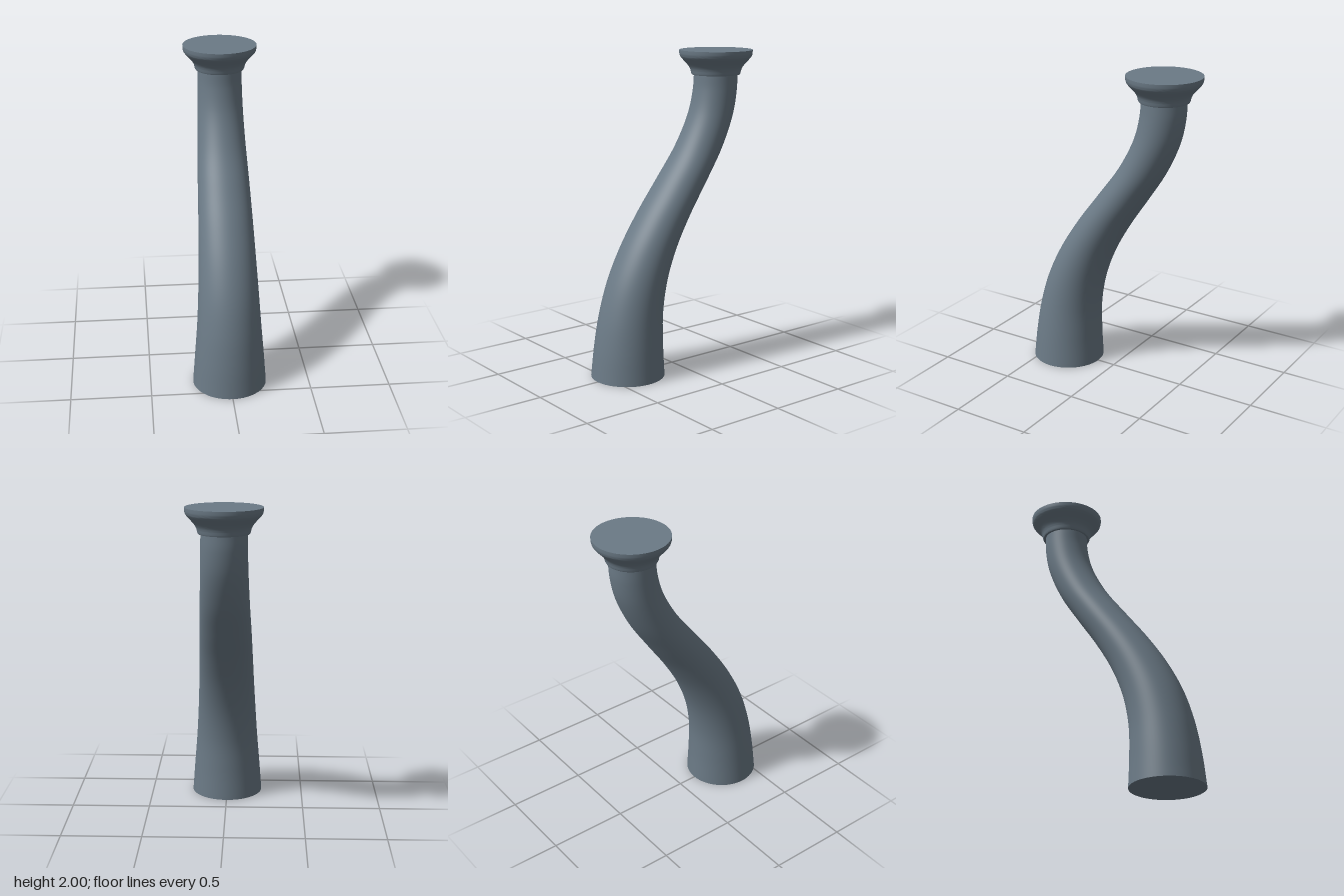
import * as THREE from 'three';
import { mergeVertices, toCreasedNormals } from 'three/addons/utils/BufferGeometryUtils.js';

const slate = new THREE.MeshStandardMaterial({ color: 0x6b7a86 });
slate.name = 'slate grey';

const TOP_Z = -0.353, BASE_Z = 0.353, STEM_TOP = 1.86;

// Centre line of the stem: height, depth, radius
const stations = [
  [0, 0.353, 0.231], [0.2, 0.345, 0.216], [0.4, 0.324, 0.2], [0.6, 0.274, 0.188],
  [0.8, 0.187, 0.178], [1.0, 0.066, 0.17], [1.2, -0.077, 0.162], [1.4, -0.215, 0.152],
  [1.6, -0.311, 0.144], [1.75, -0.346, 0.14], [STEM_TOP, -0.353, 0.138],
].map(([y, z, r]) => new THREE.Vector3(r, y, z));

// Horizontal circles that slide along the S-curve and taper upwards
function stemGeometry(rows = 60, sides = 64) {
  const path = new THREE.CatmullRomCurve3(stations);
  const geo = new THREE.CylinderGeometry(1, 1, 1, sides, rows, true);
  const pos = geo.attributes.position;
  for (let i = 0; i < pos.count; i++) {
    const s = path.getPoint(THREE.MathUtils.clamp(pos.getY(i) + 0.5, 0, 1));
    pos.setXYZ(i, pos.getX(i) * s.x, s.y, s.z + pos.getZ(i) * s.x);
  }
  geo.deleteAttribute('uv');
  geo.deleteAttribute('normal');
  const welded = mergeVertices(geo, 1e-5);
  welded.computeVertexNormals();
  return welded;
}

export function createModel() {
  const group = new THREE.Group();
  const add = (name, geo) => {
    const mesh = new THREE.Mesh(geo, slate);
    mesh.name = name;
    group.add(mesh);
    return mesh;
  };

  // Curved tapering stem
  add('stem', stemGeometry());

  // Flat underside
  const underside = add('underside', new THREE.CircleGeometry(0.231, 64));
  underside.rotation.x = Math.PI / 2;
  underside.position.z = BASE_Z;

  // Flared cap on top of the stem
  const flare = new THREE.SplineCurve([
    [0.157, 1.855], [0.16, 1.87], [0.168, 1.89], [0.185, 1.913],
    [0.21, 1.94], [0.226, 1.96], [0.232, 1.98],
  ].map(([r, y]) => new THREE.Vector2(r, y))).getPoints(20);
  const profile = [
    new THREE.Vector2(0.125, 1.845), new THREE.Vector2(0.152, 1.845),
    ...flare, new THREE.Vector2(0.232, 2),
  ];
  const cap = add('flaredCap', toCreasedNormals(new THREE.LatheGeometry(profile, 64), 0.6));
  cap.position.z = TOP_Z;

  // Flat top face
  const topFace = add('capTop', new THREE.CircleGeometry(0.232, 64));
  topFace.rotation.x = -Math.PI / 2;
  topFace.position.set(0, 2, TOP_Z);

  return group;
}
